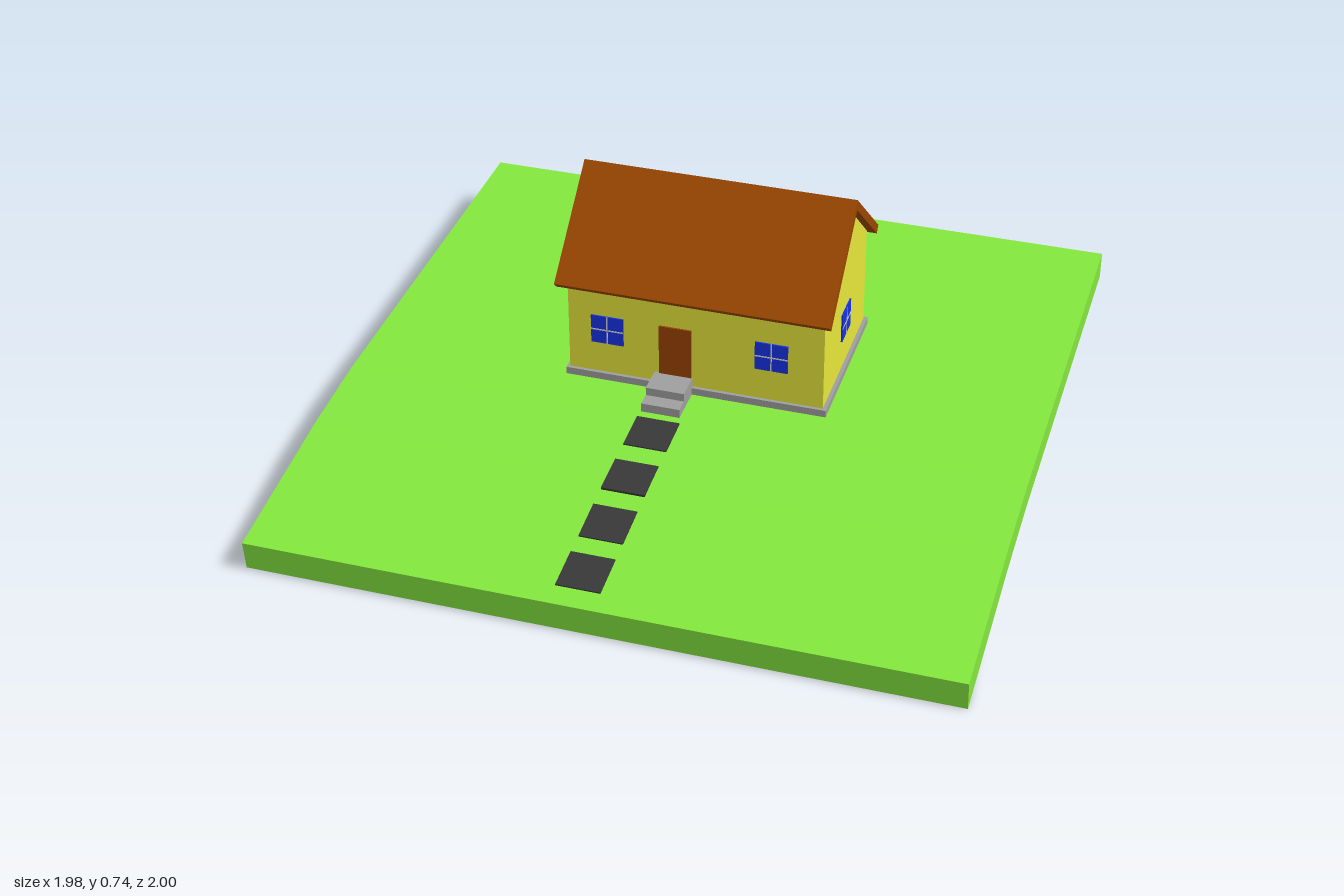
import * as THREE from 'three';

const paint = (name, color) => Object.assign(new THREE.MeshStandardMaterial({ color }), { name });

export function createModel() {
  const model = new THREE.Group();
  model.name = 'cottage';
  const grass = paint('grass green', 0x84e73e);
  const wall = paint('wall yellow', 0xe6e63a);
  const brown = paint('roof brown', 0x994600);
  const doorBrown = paint('door brown', 0x994200);
  const stone = paint('stone grey', 0x9e9e9e);
  const slate = paint('path slate', 0x383838);
  const glass = paint('window blue', 0x1632e6);
  const bars = paint('window bar grey', 0xd0d0d0);

  const add = (name, geometry, material, parent = model) => {
    const mesh = new THREE.Mesh(geometry, material);
    mesh.name = name;
    parent.add(mesh);
    return mesh;
  };

  // Box given by its minimum and maximum corners
  const box = (name, [x0, y0, z0], [x1, y1, z1], material) => {
    const mesh = add(name, new THREE.BoxGeometry(x1 - x0, y1 - y0, z1 - z0), material);
    mesh.position.set((x0 + x1) / 2, (y0 + y1) / 2, (z0 + z1) / 2);
    return mesh;
  };

  // Prism along x from a [z, y] outline
  const prism = (name, outline, halfWidth, material) => {
    const shape = new THREE.Shape(outline.map(([z, y]) => new THREE.Vector2(-z, y)));
    const geometry = new THREE.ExtrudeGeometry(shape, { depth: 2 * halfWidth, bevelEnabled: false });
    geometry.translate(0, 0, -halfWidth).rotateY(Math.PI / 2);
    return add(name, geometry, material);
  };

  // Lawn slab that bends down towards the front
  const lawnTop = [[-1, 0.163], [0.24, 0.163], [0.5, 0.147], [1, 0.09]];
  const lawnBottom = [[0.99, 0], [0.49, 0.062], [0.235, 0.08], [-1, 0.08]];
  prism('lawn', [...lawnTop, ...lawnBottom], 0.992, grass);

  // Stepping stones that follow the slope, almost flush with the lawn
  const slopeAt = (z) => {
    const i = z < 0.5 ? 1 : 2;
    const [[z0, y0], [z1, y1]] = [lawnTop[i], lawnTop[i + 1]];
    const slope = (y1 - y0) / (z1 - z0);
    return { y: y0 + slope * (z - z0), tilt: -Math.atan(slope) };
  };
  [0.303, 0.497, 0.685, 0.872].forEach((z, i) => {
    const { y, tilt } = slopeAt(z);
    const slab = add('steppingStone', new THREE.BoxGeometry(0.125, 0.012, 0.127), slate);
    slab.position.set(-0.06 - i * 0.001, y - 0.002, z);
    slab.rotation.x = tilt;
  });

  // Foundation, walls with gables, and roof
  box('foundation', [-0.385, 0.15, -0.412], [0.387, 0.185, 0.09], stone);
  prism('walls', [[0.08, 0.18], [0.08, 0.49], [-0.161, 0.702], [-0.402, 0.49], [-0.402, 0.18]], 0.376, wall);
  prism('roof', [
    [0.126, 0.488], [-0.16, 0.735], [-0.446, 0.488],
    [-0.429, 0.469], [-0.16, 0.702], [0.109, 0.469],
  ], 0.4, brown);

  // Door and its two steps
  box('door', [-0.106, 0.185, 0.076], [-0.01, 0.375, 0.085], doorBrown);
  box('upperStep', [-0.12, 0.16, 0.08], [-0.007, 0.215, 0.166], stone);
  box('lowerStep', [-0.12, 0.155, 0.166], [-0.007, 0.19, 0.21], stone);

  // Windows: a blue plate divided by a thin cross
  const addWindow = (x, z, turn) => {
    const group = new THREE.Group();
    group.name = 'window';
    add('pane', new THREE.BoxGeometry(0.096, 0.09, 0.009), glass, group);
    add('uprightBar', new THREE.BoxGeometry(0.004, 0.09, 0.002), bars, group).position.z = 0.0045;
    add('crossBar', new THREE.BoxGeometry(0.096, 0.004, 0.002), bars, group).position.z = 0.0045;
    group.position.set(x, 0.33, z);
    group.rotation.y = turn;
    model.add(group);
  };
  addWindow(-0.26, 0.08, 0);
  addWindow(0.224, 0.08, 0);
  addWindow(0.217, -0.402, Math.PI);
  addWindow(-0.175, -0.402, Math.PI);
  addWindow(0.376, -0.163, Math.PI / 2);
  addWindow(-0.376, -0.163, -Math.PI / 2);

  return model;
}
